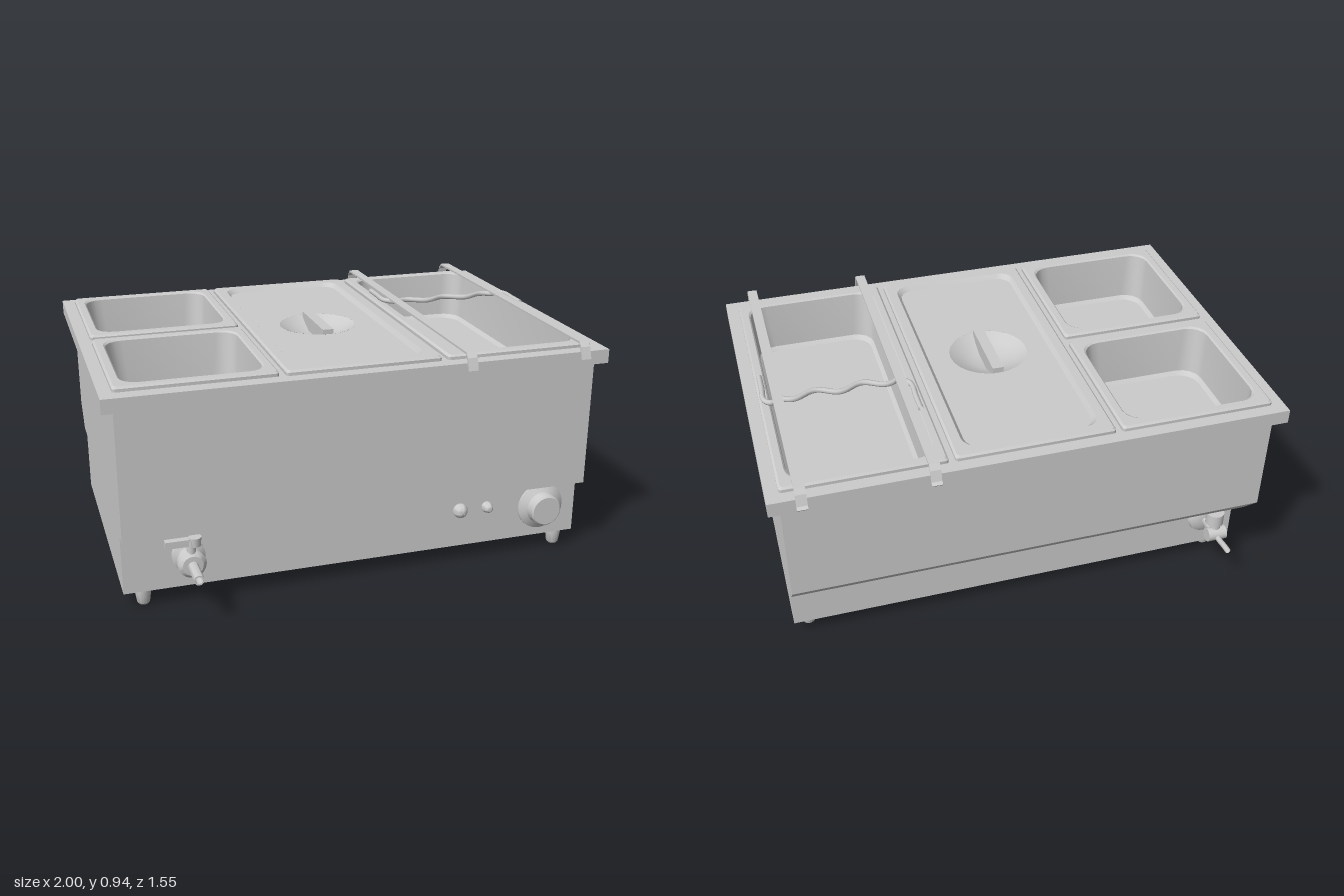
import * as THREE from 'three';
import { toCreasedNormals } from 'three/addons/utils/BufferGeometryUtils.js';

const mat = new THREE.MeshStandardMaterial({ color: 0xcccccc });
const thin = new THREE.MeshStandardMaterial({ color: 0xcccccc, side: THREE.DoubleSide });
const V = (x, y, z) => new THREE.Vector3(x, y, z);

export function createModel() {
  const model = new THREE.Group();
  const add = (name, geo, x = 0, y = 0, z = 0, parent = model, m = mat) => {
    const mesh = new THREE.Mesh(geo, m);
    mesh.name = name;
    mesh.position.set(x, y, z);
    parent.add(mesh);
    return mesh;
  };
  const group = (name, x = 0, y = 0, z = 0) => {
    const g = new THREE.Group();
    g.name = name;
    g.position.set(x, y, z);
    model.add(g);
    return g;
  };
  const box = (w, h, d) => new THREE.BoxGeometry(w, h, d);
  const lathe = (pts, seg = 24) => toCreasedNormals(
    new THREE.LatheGeometry(pts.map(p => new THREE.Vector2(...p)), seg), 0.6);
  const shapeOf = pts => new THREE.Shape(pts.map(p => new THREE.Vector2(...p)));

  // Side profile (z, y) extruded along x
  const sideExtrude = (pts, width) => {
    const g = new THREE.ExtrudeGeometry(shapeOf(pts.map(([z, y]) => [-z, y])), { depth: width, bevelEnabled: false });
    return g.rotateY(Math.PI / 2).translate(-width / 2, 0, 0);
  };
  const outer = [[0.62, 0.86], [0.62, 0.315], [0.555, 0.315], [0.555, 0.07], [-0.52, 0.07],
    [-0.52, 0.315], [-0.615, 0.315], [-0.705, 0.415], [-0.705, 0.86]];

  // Tank: open trough closed by two end plates
  add('tankBody', sideExtrude([...outer, [-0.695, 0.86], [-0.695, 0.55], [0.61, 0.55], [0.61, 0.86]], 1.9));
  for (const s of [-1, 1]) add('tankEndPlate', sideExtrude(outer, 0.01), s * 0.95);

  // Pan layout: x, z, width, depth
  const pans = [
    [-0.6425, -0.38, 0.615, 0.62], [-0.6425, 0.28, 0.615, 0.62],
    [0, -0.0475, 0.62, 1.285], [0.6425, -0.0475, 0.615, 1.285],
  ];

  // Top frame with an opening for each pan
  const rect = (x, y, w, d) => [[x - w / 2, y - d / 2], [x + w / 2, y - d / 2], [x + w / 2, y + d / 2], [x - w / 2, y + d / 2]];
  const frame = shapeOf(rect(0, 0.045, 2, 1.39));
  for (const [x, z, w, d] of pans) frame.holes.push(shapeOf(rect(x, -z, w - 0.02, d - 0.02)));
  add('topFrame', new THREE.ExtrudeGeometry(frame, { depth: 0.057, bevelEnabled: false })
    .rotateX(-Math.PI / 2), 0, 0.841, 0);

  // Rounded rectangle outline with five points per corner
  const outline = (w, d, r) => {
    const pts = [];
    for (let c = 0; c < 4; c++) {
      const sx = c === 0 || c === 3 ? 1 : -1, sy = c < 2 ? 1 : -1;
      for (let i = 0; i < 5; i++) {
        const a = (c + i / 4) * Math.PI / 2;
        pts.push([sx * (w / 2 - r) + r * Math.cos(a), sy * (d / 2 - r) + r * Math.sin(a)]);
      }
    }
    return pts;
  };
  // Skin between stacked outlines given as [inset, height, corner radius]
  const loft = (w, d, rings) => {
    const pos = [], idx = [], n = 20;
    for (const [inset, y, r] of rings)
      for (const [px, py] of outline(w - 2 * inset, d - 2 * inset, r)) pos.push(px, y, -py);
    for (let k = 0; k < rings.length - 1; k++)
      for (let i = 0; i < n; i++) {
        const a = k * n + i, b = k * n + (i + 1) % n;
        idx.push(a, b, a + n, b, b + n, a + n);
      }
    const g = new THREE.BufferGeometry();
    g.setAttribute('position', new THREE.Float32BufferAttribute(pos, 3));
    g.setIndex(idx);
    return toCreasedNormals(g, 0.5);
  };
  const flat = shape => new THREE.ShapeGeometry(shape, 24).rotateX(-Math.PI / 2);

  pans.forEach(([x, z, w, d], i) => {
    if (i === 2) return;
    const g = group(i === 3 ? 'largePan' : 'smallPan', x, 0, z);
    add('panSkin', loft(w, d, [[0, 0.895, 0.012], [0, 0.91, 0.012], [0.008, 0.918, 0.012],
      [0.034, 0.918, 0.07], [0.04, 0.912, 0.075], [0.055, 0.715, 0.08], [0.07, 0.7, 0.08]]), 0, 0, 0, g, thin);
    add('panFloor', flat(shapeOf(outline(w - 0.14, d - 0.14, 0.08))), 0, 0.7, 0, g, thin);
  });

  // Centre lid with recessed panel, dished grip and bar handle
  const [lx, lz, lw, ld] = pans[2];
  const lid = group('lid', lx, 0, lz);
  add('lidRim', loft(lw, ld, [[0, 0.895, 0.012], [0, 0.91, 0.012], [0.008, 0.918, 0.012],
    [0.045, 0.918, 0.06], [0.06, 0.9, 0.06]]), 0, 0, 0, lid, thin);
  const panel = shapeOf(outline(lw - 0.12, ld - 0.12, 0.06));
  panel.holes.push(new THREE.Path().absarc(0, -0.0175, 0.16, 0, Math.PI * 2, true));
  add('lidPanel', flat(panel), 0, 0.9, 0, lid, thin);
  add('lidDish', lathe([[0, 0.855], [0.06, 0.855], [0.115, 0.875], [0.16, 0.9]], 24), 0, 0, 0.0175, lid, thin);
  add('lidHandle', box(0.045, 0.062, 0.3), 0, 0.886, 0.0175, lid);

  // Hooked strap bars across the large pan
  const strap = [[0.688, 0.878], [0.672, 0.925], [0.655, 0.944], [-0.732, 0.944], [-0.75, 0.925], [-0.765, 0.885], [-0.778, 0.878]];
  const strapLoop = [...strap, ...strap.map(([z, y], i) =>
    [z + (i < 2 ? -0.009 : i > 4 ? 0.007 : 0), y - (i > 1 ? 0.008 : 0)]).reverse()];
  for (const x of [0.4, 0.88]) add('strapBar', sideExtrude(strapLoop, 0.04), x, 0, 0, model, thin);

  // Wavy divider rod with a straight grip at each end
  const rod = [V(0.365, 0.93, -0.38), V(0.365, 0.93, -0.3), V(0.365, 0.93, -0.21), V(0.385, 0.93, -0.182)];
  for (let i = 0; i <= 20; i++) {
    const t = i / 20;
    rod.push(V(0.41 + 0.46 * t, 0.93, -0.168 + 0.018 * Math.sin(t * Math.PI * 5 + Math.PI)));
  }
  rod.push(V(0.905, 0.93, -0.187), V(0.93, 0.93, -0.165), V(0.93, 0.93, -0.08), V(0.93, 0.93, 0));
  add('dividerRod', new THREE.TubeGeometry(new THREE.CatmullRomCurve3(rod), 120, 0.011, 8), 0, 0, 0, model, thin);

  // Feet
  for (const x of [-0.875, 0.89])
    for (const z of [0.515, -0.45])
      add('foot', lathe([[0, 0], [0.018, 0], [0.025, 0.008], [0.033, 0.06], [0.033, 0.072], [0, 0.072]], 16), x, 0, z);

  // Front controls
  const facing = (pts, seg) => lathe(pts, seg).rotateX(Math.PI / 2);
  add('thermostatKnob', facing([[0.1, 0], [0.1, 0.008], [0.07, 0.026], [0.066, 0.06], [0.06, 0.066], [0, 0.066]], 32), 0.795, 0.205, 0.555);
  for (const [x, r] of [[0.43, 0.03], [0.55, 0.023]])
    add('indicatorLamp', facing([[r, 0], [r, 0.012], [r * 0.75, 0.028], [r * 0.4, 0.036], [0, 0.038]], 20), x, 0.232, 0.555);

  // Front drain tap
  const tap = group('frontTap', -0.7, 0.205, 0.555);
  add('tapBody', facing([[0.065, 0], [0.065, 0.02], [0.045, 0.03], [0.045, 0.06], [0.055, 0.062], [0.055, 0.09],
    [0.04, 0.105], [0.02, 0.106], [0.02, 0.22], [0.014, 0.22], [0.014, 0.14], [0, 0.14]]), 0, 0, 0, tap);
  add('tapStem', new THREE.CylinderGeometry(0.018, 0.018, 0.07, 16), 0, 0.065, 0.08, tap);
  add('tapLever', box(0.1, 0.028, 0.028), -0.05, 0.092, 0.08, tap);
  add('tapLeverHub', new THREE.CylinderGeometry(0.025, 0.022, 0.036, 16), 0.015, 0.092, 0.08, tap);

  // Rear inlet valve
  const valve = group('rearValve', -0.825, 0.212, -0.52);
  add('valveFlange', facing([[0.07, 0], [0.066, 0.012], [0.045, 0.024], [0.018, 0.026], [0.018, 0.13], [0, 0.13]]).rotateY(Math.PI), 0, 0, 0, valve);
  add('valveBody', new THREE.CylinderGeometry(0.03, 0.03, 0.08, 20).rotateZ(Math.PI / 2), 0, 0.008, -0.118, valve);
  add('valveRiser', new THREE.CylinderGeometry(0.037, 0.037, 0.055, 20), 0, 0.078, -0.094, valve);
  add('valveNeck', new THREE.CylinderGeometry(0.022, 0.022, 0.06, 16), 0, 0.035, -0.108, valve);
  const lever = new THREE.CatmullRomCurve3([V(0, 0.006, -0.12), V(0, 0.004, -0.16), V(0, 0.01, -0.2), V(0, 0.013, -0.238)]);
  add('valveLever', new THREE.TubeGeometry(lever, 12, 0.012, 10), 0, 0, 0, valve, thin);

  return model;
}
